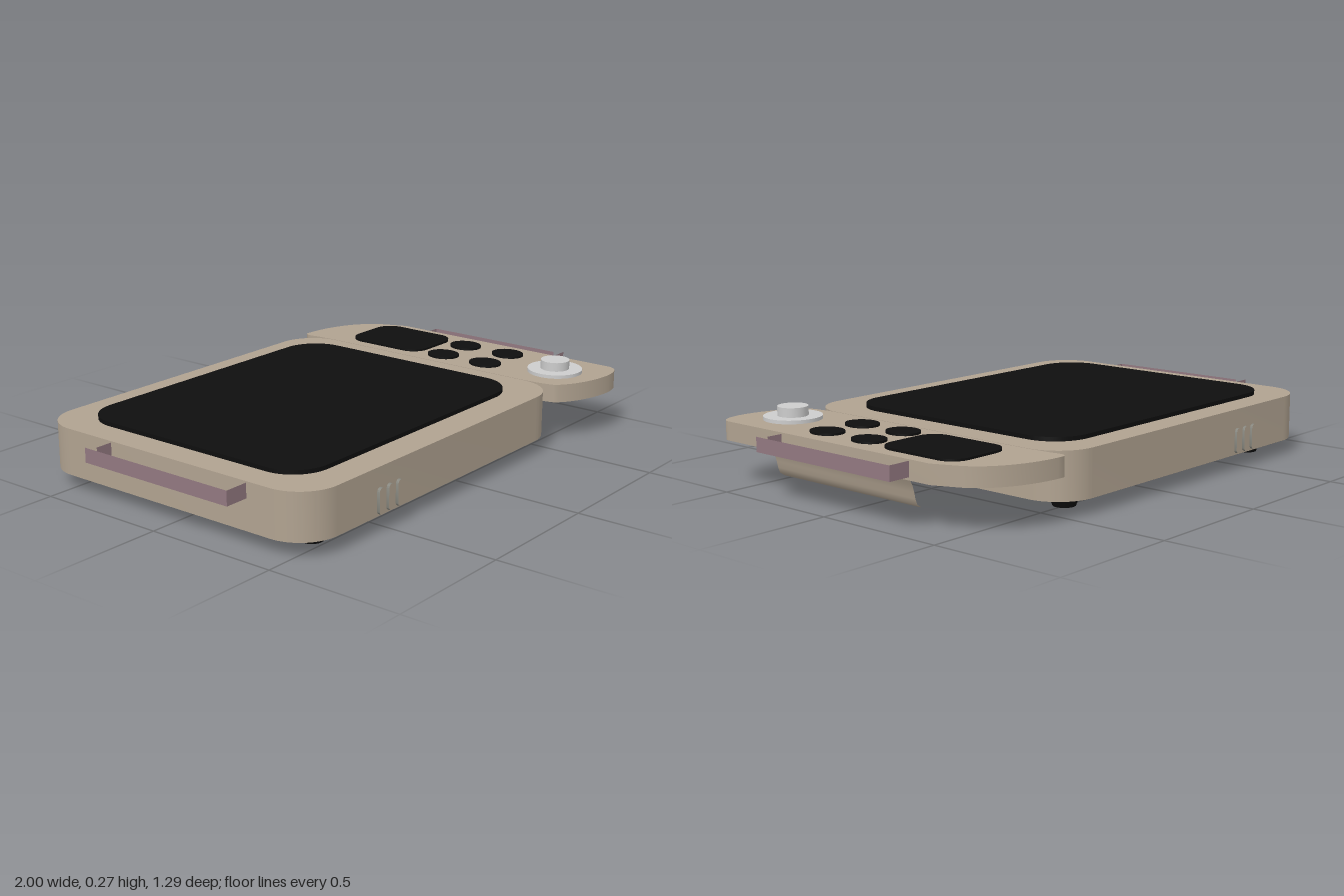
import * as THREE from 'three';
import { toCreasedNormals } from 'three/addons/utils/BufferGeometryUtils.js';

const mat = (name, color) => Object.assign(new THREE.MeshStandardMaterial({ color }), { name });

export function createModel() {
  const root = new THREE.Group();
  root.name = 'handheldConsole';
  const shell = mat('beigeShell', 0xb0a290);
  const black = mat('black', 0x0e0e0e);
  const silver = mat('silver', 0xcccccc);
  const mauve = mat('mauveHandle', 0x927880);
  const grey = mat('ventGrey', 0x85857d);

  const add = (name, geometry, material, x = 0, y = 0, z = 0) => {
    const m = new THREE.Mesh(geometry, material);
    m.name = name;
    m.position.set(x, y, z);
    root.add(m);
    return m;
  };

  // Plan outline (shape y = -z) raised from y0 to y1
  const slab = (name, shape, y0, y1, material) => {
    const g = new THREE.ExtrudeGeometry(shape, { depth: y1 - y0, bevelEnabled: false, curveSegments: 14 });
    g.rotateX(-Math.PI / 2);
    return add(name, toCreasedNormals(g, 0.6), material, 0, y0, 0);
  };

  const roundedRect = (x0, x1, z0, z1, r) => {
    const s = new THREE.Shape();
    s.absarc(x1 - r, -z0 - r, r, 0, Math.PI / 2);
    s.absarc(x0 + r, -z0 - r, r, Math.PI / 2, Math.PI);
    s.absarc(x0 + r, -z1 + r, r, Math.PI, Math.PI * 1.5);
    s.absarc(x1 - r, -z1 + r, r, Math.PI * 1.5, Math.PI * 2);
    s.closePath();
    return s;
  };

  // Open wall swept from a line of points along one direction
  const wall = (points, dir, closed) => {
    const pos = [];
    const n = closed ? points.length : points.length - 1;
    for (let i = 0; i < n; i++) {
      const a = points[i], b = points[(i + 1) % points.length];
      const c = b.clone().add(dir), d = a.clone().add(dir);
      for (const p of [a, b, c, a, c, d]) pos.push(p.x, p.y, p.z);
    }
    const g = new THREE.BufferGeometry();
    g.setAttribute('position', new THREE.Float32BufferAttribute(pos, 3));
    g.computeVertexNormals();
    return toCreasedNormals(g, 0.7);
  };
  const V = (x, y, z) => new THREE.Vector3(x, y, z);

  // Main body and its screen
  slab('mainBody', roundedRect(-0.91, 0.552, -0.64, 0.577, 0.15), 0.055, 0.225, shell);
  slab('mainScreen', roundedRect(-0.805, 0.45, -0.54, 0.46, 0.14), 0.225, 0.24, black);

  // Side control panel
  const p = new THREE.Shape();
  p.moveTo(0.556, 0.5);
  p.lineTo(0.556, -0.38);
  p.quadraticCurveTo(0.556, -0.5, 0.575, -0.55);
  p.bezierCurveTo(0.62, -0.6, 0.72, -0.642, 0.82, -0.642);
  p.bezierCurveTo(0.88, -0.638, 0.915, -0.62, 0.915, -0.58);
  p.lineTo(0.915, 0.4);
  p.lineTo(0.873, 0.5);
  p.bezierCurveTo(0.82, 0.6, 0.68, 0.65, 0.565, 0.65);
  p.quadraticCurveTo(0.535, 0.645, 0.55, 0.59);
  p.closePath();
  slab('controlPanel', p, 0.156, 0.225, shell);
  slab('smallScreen', roundedRect(0.6, 0.867, -0.46, -0.11, 0.07), 0.225, 0.233, black);

  // Buttons
  for (const [x, z] of [[0.645, -0.012], [0.806, -0.015], [0.649, 0.185], [0.81, 0.185]]) {
    const b = add('button', new THREE.CylinderGeometry(1, 1, 0.008, 28), black, x, 0.229, z);
    b.scale.set(0.056, 1, 0.065);
  }

  // Thumb stick
  add('stickBase', new THREE.CylinderGeometry(0.105, 0.105, 0.013, 36), silver, 0.732, 0.2315, 0.452);
  add('stick', new THREE.CylinderGeometry(0.055, 0.055, 0.034, 28), silver, 0.732, 0.255, 0.452);

  // Curved grip shell under the panel
  const grip = [[0.55, 0.055], [0.83, 0.055], [0.865, 0.059], [0.885, 0.072], [0.893, 0.092],
    [0.898, 0.115], [0.905, 0.138], [0.915, 0.157]].map(([x, y]) => V(x, y, -0.315));
  add('grip', wall(grip, V(0, 0, 0.665), false), shell);

  // Side handles
  const bar = [[0.905, 0.33], [1, 0.33], [1, -0.31], [0.905, -0.31],
    [0.905, -0.28], [0.975, -0.28], [0.975, 0.3], [0.905, 0.3]];
  for (const side of [1, -1]) {
    const loop = bar.map(([x, z]) => V(x * side, 0.167, z));
    if (side < 0) loop.reverse();
    add(side > 0 ? 'leftHandle' : 'rightHandle', wall(loop, V(0, 0.053, 0), true), mauve);
  }

  // Vent rims on front and back
  for (const z of [0.575, -0.65]) {
    for (const x of [-0.542, -0.492, -0.442]) {
      const loop = [];
      for (let i = 0; i < 16; i++) {
        const a = (i + 0.5) * Math.PI / 8;
        loop.push(V(x + 0.015 * Math.cos(a), 0.108 + 0.015 * Math.sin(a) + (i < 8 ? 0.032 : -0.032), z));
      }
      add('vent', wall(loop, V(0, 0, 0.013), true), grey);
    }
  }

  // Feet
  for (const x of [-0.73, 0.37]) {
    for (const z of [0.447, -0.493]) {
      add('foot', new THREE.CylinderGeometry(0.06, 0.04, 0.055, 24), black, x, 0.0275, z);
    }
  }
  return root;
}
